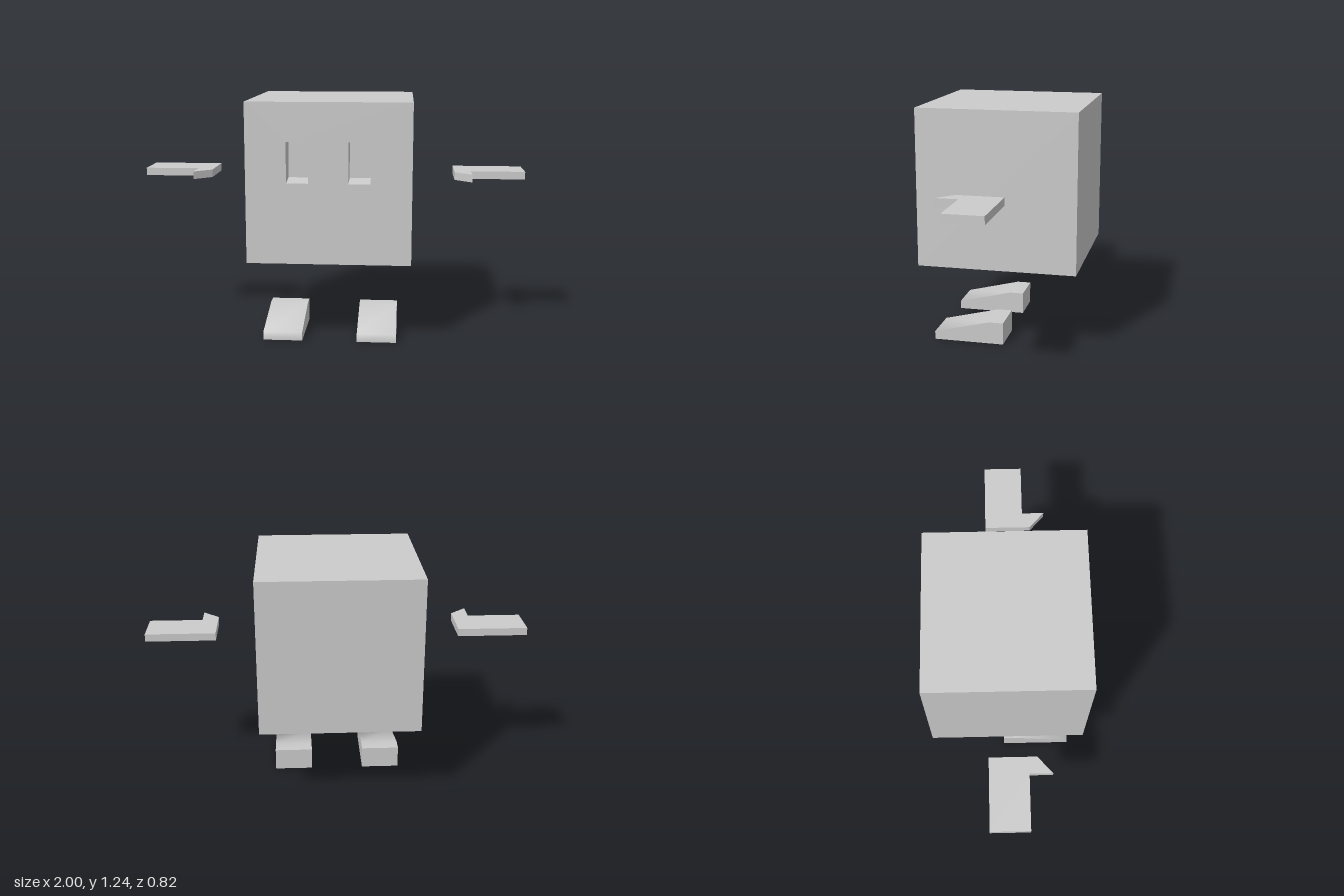
import * as THREE from 'three';
import { toCreasedNormals } from 'three/addons/utils/BufferGeometryUtils.js';

const material = new THREE.MeshStandardMaterial({ color: 0xcccccc });

function addMesh(parent, geometry, name) {
  const mesh = new THREE.Mesh(geometry, material);
  mesh.name = name;
  parent.add(mesh);
  return mesh;
}

const polygon = (points) => new THREE.Shape(points.map(([x, y]) => new THREE.Vector2(x, y)));

// Box without its +z face
function openBox(w, h, d) {
  const geometry = new THREE.BoxGeometry(w, h, d);
  const index = Array.from(geometry.index.array);
  index.splice(24, 6);
  geometry.setIndex(index);
  geometry.clearGroups();
  return geometry;
}

const W = 0.83, H = 0.813, D = 0.82, BODY_Y = 0.425 + H / 2;
const EYE = { x: 0.155, y: 0.938, w: 0.11, h: 0.206, d: 0.107, floorRise: 0.015 };

// Hollow-eyed cube body
function createBody() {
  const body = new THREE.Group();
  body.name = 'body';
  addMesh(body, openBox(W, H, D), 'bodyShell').position.y = BODY_Y;

  // Front face with two eye openings
  const rect = (x, y, w, h) => [
    [x - w / 2, y - h / 2], [x + w / 2, y - h / 2], [x + w / 2, y + h / 2], [x - w / 2, y + h / 2],
  ];
  const front = polygon(rect(0, BODY_Y, W, H));
  for (const side of [-1, 1]) {
    front.holes.push(polygon(rect(side * EYE.x, EYE.y, EYE.w, EYE.h)));
  }
  addMesh(body, new THREE.ShapeGeometry(front), 'faceFront').position.z = D / 2;

  // Inward-facing sockets whose floors rise toward the back
  for (const side of [-1, 1]) {
    const socket = openBox(EYE.w, EYE.h, EYE.d);
    const p = socket.attributes.position;
    for (let i = 0; i < p.count; i++) {
      if (p.getY(i) < 0 && p.getZ(i) < 0) p.setY(i, p.getY(i) + EYE.floorRise);
    }
    socket.scale(-1, 1, 1);
    socket.computeVertexNormals();
    addMesh(body, socket, side > 0 ? 'leftEyeSocket' : 'rightEyeSocket')
      .position.set(side * EYE.x, EYE.y, D / 2 - EYE.d / 2);
  }
  return body;
}

// Flat hand with a forward-pointing thumb, outlined in x and z
function handGeometry(side) {
  const outline = [
    [0.635, -0.1], [1, -0.1], [1, 0.1], [0.72, 0.1], [0.72, 0.217], [0.635, 0.14],
  ];
  const geometry = new THREE.ExtrudeGeometry(
    polygon(outline.map(([x, z]) => [side * x, z])), { depth: 0.04, bevelEnabled: false });
  return geometry.rotateX(Math.PI / 2).translate(0, 0.86, 0);
}

// Wedge foot, outlined in z and y, with softly shaded slope
function footGeometry(side) {
  const outline = [[-0.02, 0], [0.35, 0], [0.35, 0.043], [0.055, 0.117], [-0.02, 0.117]];
  const width = 0.203;
  const geometry = new THREE.ExtrudeGeometry(polygon(outline), { depth: width, bevelEnabled: false });
  geometry.rotateY(-Math.PI / 2).translate(side * 0.243 + width / 2, 0, 0);
  return toCreasedNormals(geometry, THREE.MathUtils.degToRad(80));
}

export function createModel() {
  const model = new THREE.Group();
  model.name = 'blockCharacter';
  model.add(createBody());
  for (const side of [-1, 1]) {
    const label = side > 0 ? 'left' : 'right';
    addMesh(model, handGeometry(side), label + 'Hand');
    addMesh(model, footGeometry(side), label + 'Foot');
  }
  return model;
}
